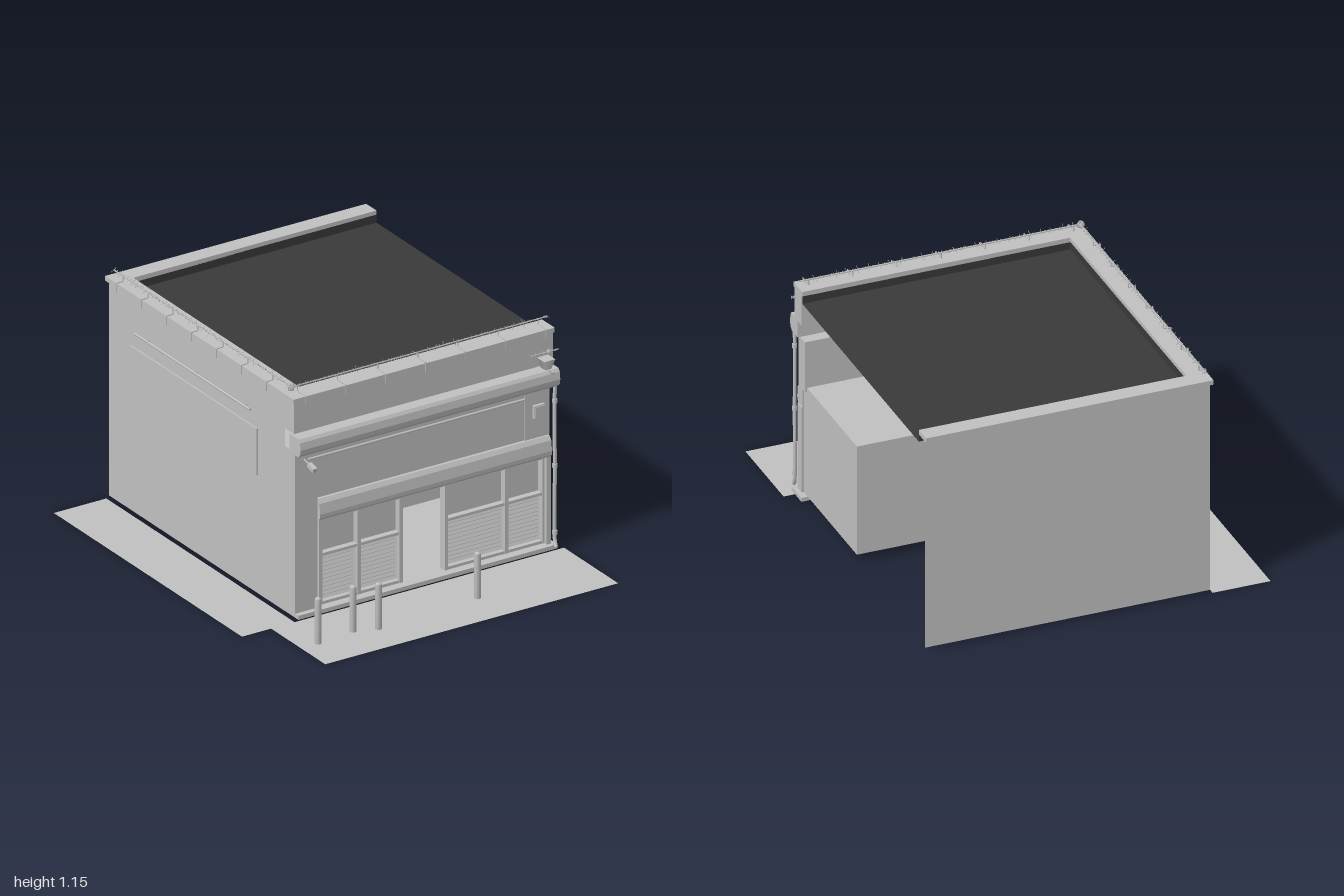
import * as THREE from 'three';
import { mergeGeometries } from 'three/addons/utils/BufferGeometryUtils.js';

export function createModel() {
  const root = new THREE.Group();
  root.name = 'shopBuilding';
  const wall = new THREE.MeshStandardMaterial({ color: 0xc0c0c0, side: THREE.DoubleSide });
  wall.name = 'pale grey';
  const felt = new THREE.MeshStandardMaterial({ color: 0x393939, side: THREE.DoubleSide });
  felt.name = 'roof felt';

  const V = (x, y, z) => new THREE.Vector3(x, y, z);
  const add = (name, geo, mat = wall, parent = root) => {
    const m = new THREE.Mesh(geo, mat);
    m.name = name;
    parent.add(m);
    return m;
  };
  // Box geometry given by its limits
  const boxGeo = (x0, x1, y0, y1, z0, z1) =>
    new THREE.BoxGeometry(x1 - x0, y1 - y0, z1 - z0).translate((x0 + x1) / 2, (y0 + y1) / 2, (z0 + z1) / 2);
  const box = (name, ...lim) => add(name, boxGeo(...lim));
  // Straight round bar between two points
  const barGeo = (a, b, r, sides = 6) => {
    const d = b.clone().sub(a);
    const g = new THREE.CylinderGeometry(r, r, d.length(), sides);
    g.applyQuaternion(new THREE.Quaternion().setFromUnitVectors(V(0, 1, 0), d.clone().normalize()));
    return g.translate((a.x + b.x) / 2, (a.y + b.y) / 2, (a.z + b.z) / 2);
  };
  // Side profile of [z, y] points drawn out along x
  const profile = (name, pts, x0, x1) => {
    const s = new THREE.Shape(pts.map(([z, y]) => new THREE.Vector2(-z, y)));
    const g = new THREE.ExtrudeGeometry(s, { depth: x1 - x0, bevelEnabled: false });
    return add(name, g.rotateY(Math.PI / 2).translate(x0, 0, 0));
  };

  // Pavement strips
  const slab = (name, x0, x1, z0, z1) => add(name,
    new THREE.PlaneGeometry(x1 - x0, z1 - z0).rotateX(-Math.PI / 2).translate((x0 + x1) / 2, 0, (z0 + z1) / 2));
  slab('sidePavement', -0.86, -0.58, -0.99, 0.555);
  slab('frontPavement', -0.705, 0.855, 0.555, 1.0);

  // Thin outer walls; the right side is open
  add('leftWall', new THREE.PlaneGeometry(1.445, 1.06).rotateY(-Math.PI / 2).translate(-0.57, 0.545, -0.2625));
  add('backWall', new THREE.PlaneGeometry(1.38, 1.06).rotateY(Math.PI).translate(0.12, 0.545, -0.985));

  // Flat roof with felt turned up at the parapet
  add('roof', new THREE.PlaneGeometry(1.295, 1.36).rotateX(-Math.PI / 2).translate(0.1625, 1.035, -0.235), felt);
  add('roofUpstandBack', new THREE.PlaneGeometry(1.295, 0.04).translate(0.1625, 1.055, -0.915), felt);
  add('roofUpstandFront', new THREE.PlaneGeometry(1.295, 0.04).rotateY(Math.PI).translate(0.1625, 1.055, 0.445), felt);
  add('roofUpstandLeft', new THREE.PlaneGeometry(1.36, 0.04).rotateY(Math.PI / 2).translate(-0.485, 1.055, -0.235), felt);

  // Coping
  box('frontCoping', -0.58, 0.81, 1.072, 1.095, 0.445, 0.548);
  box('backCoping', -0.58, 0.81, 1.072, 1.095, -1.0, -0.915);
  box('leftCoping', -0.58, -0.485, 1.072, 1.095, -0.915, 0.445);

  // Facade masses
  box('frontParapet', -0.57, 0.81, 0.918, 1.072, 0.455, 0.535);
  profile('fascia', [[0.515, 0.825], [0.585, 0.825], [0.6, 0.84], [0.605, 0.865], [0.6, 0.9], [0.59, 0.915], [0.515, 0.915]], -0.58, 0.803);
  box('upperWall', -0.45, 0.66, 0.57, 0.825, 0.46, 0.53);
  box('meterPanel', 0.66, 0.79, 0.57, 0.825, 0.46, 0.536);
  profile('signBand', [[0.5, 0.468], [0.552, 0.468], [0.563, 0.48], [0.565, 0.5], [0.558, 0.55], [0.545, 0.57], [0.5, 0.57]], -0.45, 0.785);
  box('leftPilaster', -0.57, -0.45, 0.02, 0.83, 0.455, 0.545);
  box('rightPilaster', 0.766, 0.79, 0.03, 0.47, 0.5, 0.55);
  box('plinth', -0.57, 0.81, 0.015, 0.035, 0.455, 0.572);
  add('awningBar', barGeo(V(-0.54, 0.815, 0.608), V(0.61, 0.815, 0.608), 0.006, 8));

  // Interior room, open at the front
  const room = boxGeo(-0.43, 0.78, 0.036, 0.59, -0.12, 0.495);
  room.setIndex(Array.from(room.index.array).filter((_, i) => i < 24 || i >= 30));
  room.clearGroups();
  add('interiorRoom', room);
  box('counter', 0.04, 0.098, 0.036, 0.245, -0.05, 0.2);
  box('counterTop', 0.035, 0.108, 0.245, 0.255, -0.06, 0.21);

  // Shop windows with slatted lower halves
  const bar = 0.009;
  [[-0.435, 0.012, -0.22], [0.235, 0.772, 0.565]].forEach(([x0, x1, mid], i) => {
    const w = new THREE.Group();
    w.name = i ? 'rightWindow' : 'leftWindow';
    root.add(w);
    add('pane', boxGeo(x0, x1, 0.036, 0.465, 0.492, 0.498), wall, w);
    for (const x of [x0 + bar, mid, x1 - bar])
      add('mullion', boxGeo(x - bar, x + bar, 0.036, 0.46, 0.495, 0.532), wall, w);
    for (const y of [0.042, 0.28, 0.457])
      add('rail', boxGeo(x0, x1, y - 0.007, y + 0.007, 0.495, 0.528), wall, w);
    for (const [a, b] of [[x0 + 2 * bar, mid - bar], [mid + bar, x1 - 2 * bar]])
      for (let k = 0; k < 11; k++) {
        const slat = add('slat', new THREE.BoxGeometry(b - a, 0.015, 0.006), wall, w);
        slat.position.set((a + b) / 2, 0.06 + k * 0.02, 0.508);
        slat.rotation.x = -0.45;
      }
  });
  box('doorHead', 0.012, 0.235, 0.452, 0.47, 0.49, 0.53);
  box('openDoor', 0.022, 0.034, 0.04, 0.452, 0.28, 0.5);

  // Meter box
  box('meterBox', 0.7, 0.756, 0.67, 0.735, 0.53, 0.552);
  box('meterDoor', 0.705, 0.751, 0.675, 0.73, 0.552, 0.556);

  // Rain hopper and downpipe
  const hopper = add('rainHopper', new THREE.CylinderGeometry(0.042, 0.024, 0.048, 4).rotateY(Math.PI / 4));
  hopper.position.set(0.748, 0.945, 0.573);
  const path = new THREE.CatmullRomCurve3([[0.748, 0.925, 0.578], [0.75, 0.905, 0.59], [0.775, 0.9, 0.594],
    [0.792, 0.88, 0.585], [0.793, 0.8, 0.575], [0.793, 0.4, 0.575], [0.793, 0.06, 0.575], [0.79, 0.035, 0.59]].map(p => V(...p)));
  add('downpipe', new THREE.TubeGeometry(path, 48, 0.009, 8));
  for (const y of [0.1, 0.43, 0.75]) {
    const collar = add('pipeCollar', new THREE.CylinderGeometry(0.012, 0.012, 0.02, 8));
    collar.position.set(0.793, y, 0.575);
  }

  // Security camera on the left pilaster
  const cam = add('securityCamera', new THREE.BoxGeometry(0.022, 0.02, 0.05));
  cam.position.set(-0.522, 0.77, 0.61);
  cam.rotation.x = 0.25;
  add('cameraArm', barGeo(V(-0.522, 0.785, 0.545), V(-0.522, 0.775, 0.6), 0.004));

  // Panel and lamp rail on the left wall
  box('sidePanel', -0.578, -0.57, 0.6, 0.83, -0.8, 0.24);
  add('lampRail', barGeo(V(-0.605, 0.928, -0.72), V(-0.605, 0.928, 0.23), 0.006, 8));
  for (const z of [-0.65, -0.25, 0.15])
    add('railArm', barGeo(V(-0.57, 0.908, z), V(-0.605, 0.928, z), 0.004));

  // Barbed wire: a thin strand with crossed barbs
  let seed = 7;
  const rnd = () => (seed = (seed * 16807) % 2147483647) / 2147483647;
  const barbedWire = (name, a, b) => {
    const parts = [barGeo(a, b, 0.0035, 5)];
    const dir = b.clone().sub(a), n = Math.round(dir.length() / 0.013);
    const side = V(0, 1, 0).cross(dir).normalize();
    for (let i = 0; i <= n; i++) {
      const p = a.clone().addScaledVector(dir, i / n), t = rnd() * Math.PI;
      const len = i % 4 ? 0.009 : 0.019;
      const d = side.clone().multiplyScalar(Math.cos(t) * len).add(V(0, Math.sin(t) * len, 0))
        .addScaledVector(dir.clone().normalize(), (rnd() - 0.5) * 0.012);
      parts.push(barGeo(p.clone().sub(d), p.clone().add(d), 0.0014, 3));
    }
    add(name, mergeGeometries(parts));
  };
  barbedWire('frontBarbedWire', V(-0.57, 1.127, 0.487), V(0.81, 1.127, 0.487));
  barbedWire('leftBarbedWire', V(-0.55, 1.127, -0.975), V(-0.55, 1.127, 0.487));
  barbedWire('hopperBarbedWire', V(0.665, 1.0, 0.575), V(0.81, 1.0, 0.575));
  for (const [x, y, z, s] of [[-0.553, 1.127, 0.487, 0.016], [0.76, 1.0, 0.575, 0.01]])
    for (let k = 0; k < 4; k++) {
      const coil = add('wireCoil', new THREE.TorusGeometry(s, 0.003, 4, 12));
      coil.position.set(x, y, z);
      coil.rotation.set(k * 0.7, k * 0.8, 0);
    }

  // Wire brackets hooked over the coping
  const bracket = pts => add('wireBracket', mergeGeometries(
    pts.slice(1).map((p, i) => barGeo(V(...pts[i]), V(...p), 0.003, 4))));
  for (let k = 0; k < 7; k++) {
    const x = -0.52 + k * 0.2135, z = -0.9 + k * 0.205;
    bracket([[x, 1.055, 0.552], [x, 1.1, 0.552], [x, 1.1, 0.487], [x, 1.127, 0.487]]);
    bracket([[-0.584, 1.055, z], [-0.584, 1.1, z], [-0.55, 1.1, z], [-0.55, 1.127, z]]);
  }

  // Bollards
  for (const [x, z] of [[-0.612, 0.797], [-0.413, 0.777], [-0.302, 0.815], [0.244, 0.786]]) {
    const pts = [[0, 0], [0.0155, 0], [0.0155, 0.216], [0.011, 0.225], [0, 0.226]];
    const b = add('bollard', new THREE.LatheGeometry(pts.map(p => new THREE.Vector2(...p)), 12));
    b.position.set(x, 0, z);
  }
  return root;
}
